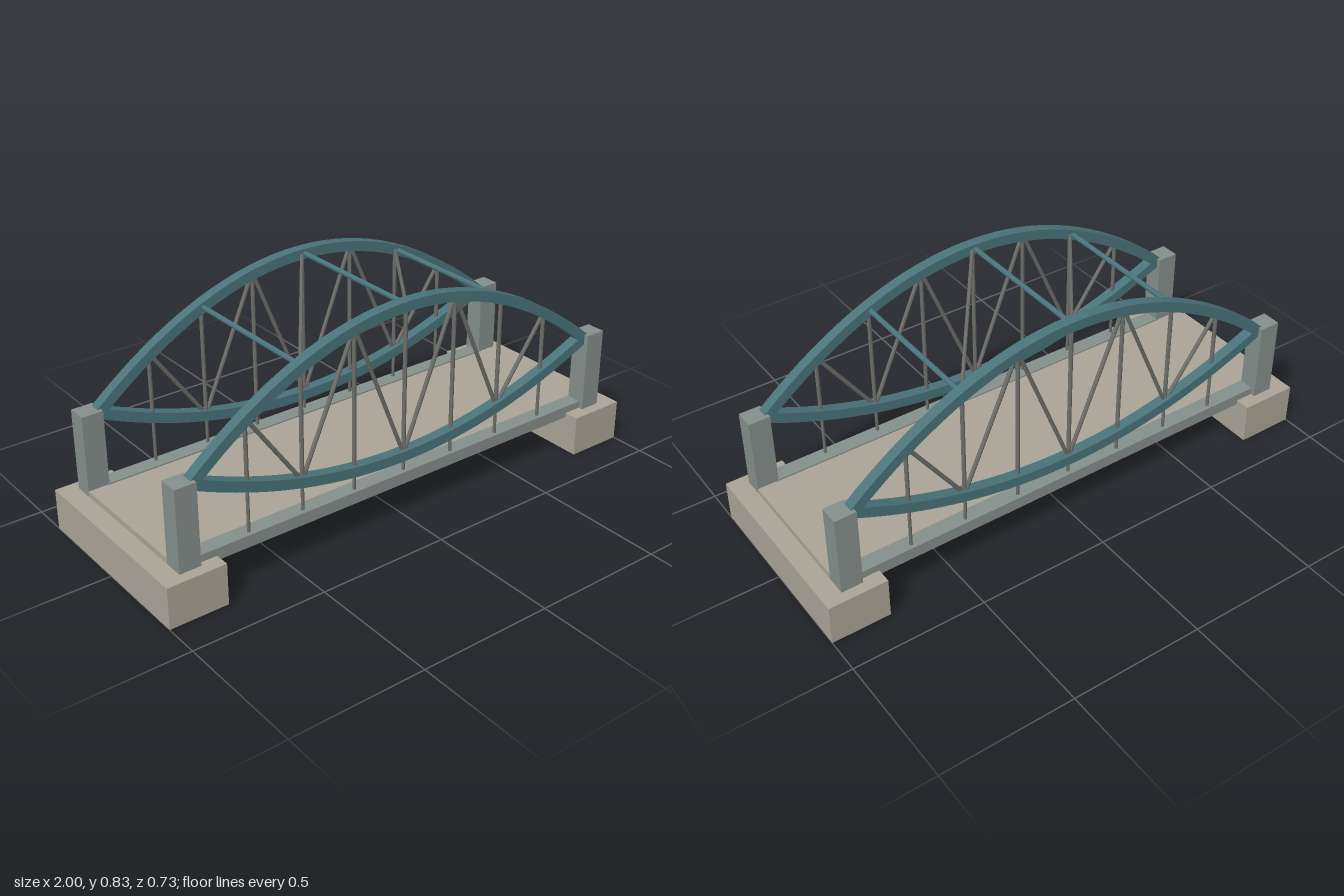
import * as THREE from 'three';

const mat = (color) => new THREE.MeshStandardMaterial({ color, flatShading: true });
const END_X = 0.853, END_Y = 0.443, TOP_Y = 0.807, LOW_Y = 0.245;
const TRUSS_Z = 0.29, CHORD = 0.038, PANEL = 0.215;

// height of a parabolic chord at x, from its mid-span height
const chordY = (mid, x) => mid + (END_Y - mid) * (x / END_X) ** 2;

export function createModel() {
  const root = new THREE.Group();
  root.name = 'archBridge';
  const stone = mat(0xaaa597), concrete = mat(0x858f8c);
  const teal = mat(0x4a747b), steel = mat(0x6d6d69);

  const add = (parent, name, geometry, material) => {
    const mesh = new THREE.Mesh(geometry, material);
    mesh.name = name;
    parent.add(mesh);
    return mesh;
  };

  // box from its minimum and maximum corners
  const box = (parent, name, a, b, material) => {
    const mesh = add(parent, name, new THREE.BoxGeometry(b[0] - a[0], b[1] - a[1], b[2] - a[2]), material);
    mesh.position.set((a[0] + b[0]) / 2, (a[1] + b[1]) / 2, (a[2] + b[2]) / 2);
  };

  // round bar between two points
  const bar = (parent, name, a, b, radius, material) => {
    const p = new THREE.Vector3(...a), q = new THREE.Vector3(...b);
    const dir = q.clone().sub(p);
    const mesh = add(parent, name, new THREE.CylinderGeometry(radius, radius, dir.length(), 8), material);
    mesh.position.copy(p).add(q).multiplyScalar(0.5);
    mesh.quaternion.setFromUnitVectors(new THREE.Vector3(0, 1, 0), dir.normalize());
  };

  // parabolic chord of square section, offset along its normals
  const chordGeometry = (mid) => {
    const upper = [], lower = [], n = 32;
    for (let i = 0; i <= n; i++) {
      const x = END_X * (2 * i / n - 1);
      const slope = 2 * (END_Y - mid) * x / END_X ** 2;
      const normal = new THREE.Vector2(-slope, 1).normalize().multiplyScalar(CHORD / 2);
      const p = new THREE.Vector2(x, chordY(mid, x));
      upper.push(p.clone().add(normal));
      lower.push(p.clone().sub(normal));
    }
    const shape = new THREE.Shape([...lower, ...upper.reverse()]);
    return new THREE.ExtrudeGeometry(shape, { depth: 0.04, bevelEnabled: false }).translate(0, 0, -0.02);
  };

  // abutments and deck
  box(root, 'abutmentLeft', [0.78, 0, -0.367], [1, 0.155, 0.367], stone);
  box(root, 'abutmentRight', [-1, 0, -0.367], [-0.78, 0.155, 0.367], stone);
  box(root, 'deck', [-0.93, 0.145, -0.255], [0.93, 0.177, 0.255], stone);

  for (const [label, s] of [['Front', 1], ['Back', -1]]) {
    const side = new THREE.Group();
    side.name = 'truss' + label;
    root.add(side);
    const z = s * TRUSS_Z;

    // edge girder and end posts
    box(side, 'edgeGirder', [-0.86, 0.137, z - s * 0.01 - 0.03], [0.86, 0.182, z - s * 0.01 + 0.03], concrete);
    for (const e of [-1, 1]) {
      box(side, 'endPost', [e * 0.89 - 0.04, 0.155, z - 0.037], [e * 0.89 + 0.04, 0.46, z + 0.037], concrete);
    }

    // upper and lower chords
    add(side, 'upperChord', chordGeometry(TOP_Y), teal).position.z = z;
    add(side, 'lowerChord', chordGeometry(LOW_Y), teal).position.z = z;

    // verticals, deck hangers and zigzag diagonals
    const top = (i) => [i * PANEL, chordY(TOP_Y, i * PANEL), z];
    const low = (i) => [i * PANEL, chordY(LOW_Y, i * PANEL), z];
    for (let i = -3; i <= 3; i++) {
      bar(side, 'vertical', low(i), top(i), 0.0075, steel);
      bar(side, 'hanger', [i * PANEL, 0.17, z], low(i), 0.006, steel);
      if (i < 3) {
        if (i % 2) bar(side, 'diagonal', top(i), low(i + 1), 0.0075, steel);
        else bar(side, 'diagonal', low(i), top(i + 1), 0.0075, steel);
      }
    }
  }

  // cross struts and wind bracing between the upper chords
  const xs = [-2 * PANEL, 0, 2 * PANEL];
  xs.forEach((x, i) => {
    const y = chordY(TOP_Y, x);
    bar(root, 'crossStrut', [x, y, -TRUSS_Z], [x, y, TRUSS_Z], 0.0095, teal);
    if (i < 2) {
      const x2 = xs[i + 1];
      bar(root, 'windBrace', [x, y, TRUSS_Z], [x2, chordY(TOP_Y, x2), -TRUSS_Z], 0.0065, steel);
    }
  });

  return root;
}
